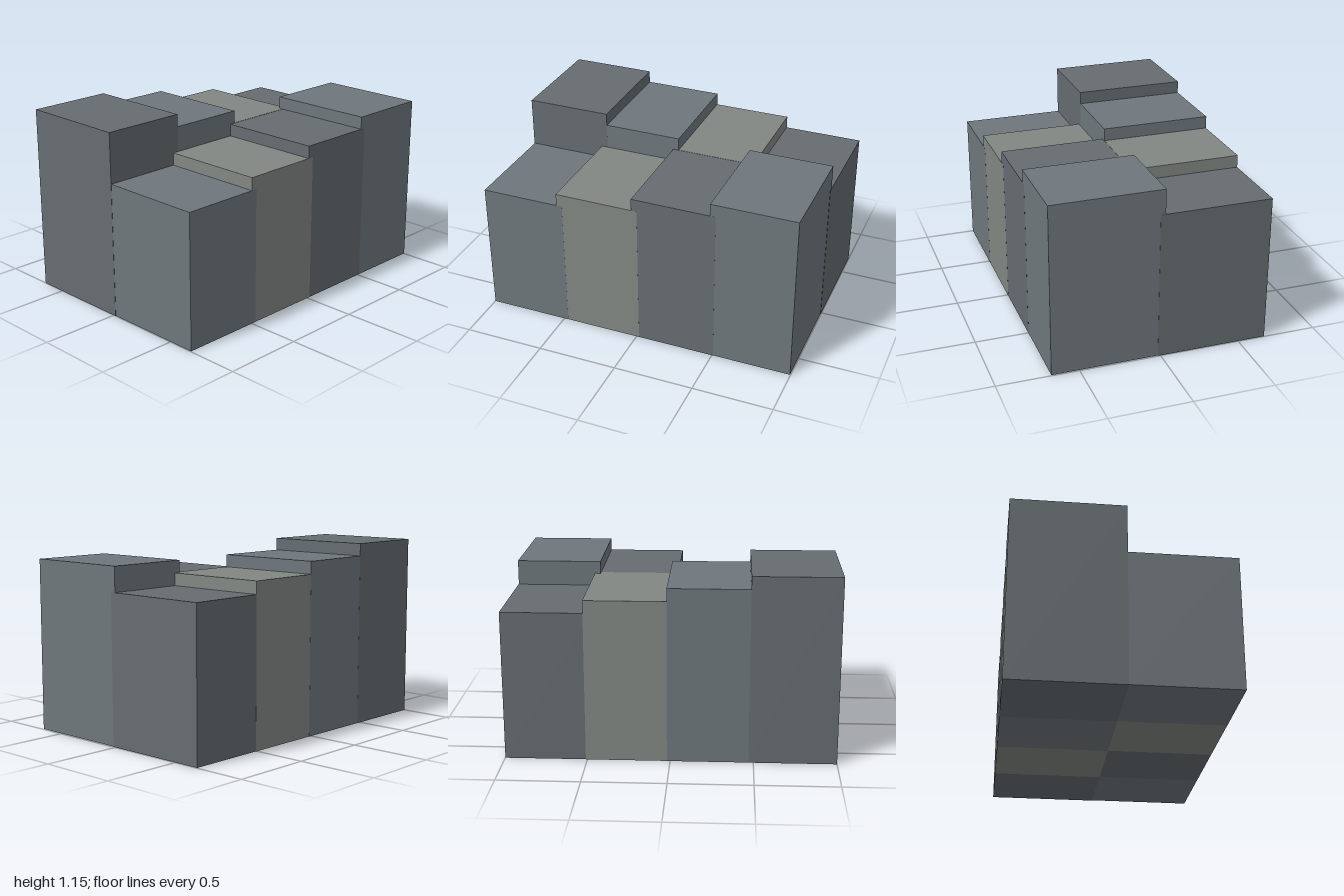
import * as THREE from 'three';

const SLATE = 0x6e777c, DARK = 0x656c70, PALE = 0x828783;
const WIDTH = 0.53, PITCH = 0.49, DEPTH = 0.69;

// Two rows of slightly overlapping blocks, climbing round in a spiral
const rows = [
  { name: 'back', z: -0.3275, heights: [1.15, 1.073, 0.995, 0.918], colors: [DARK, SLATE, PALE, DARK] },
  { name: 'front', z: 0.3275, heights: [0.84, 0.918, 0.995, 1.073], colors: [SLATE, PALE, DARK, SLATE] },
];

export function createModel() {
  const model = new THREE.Group();
  model.name = 'steppedBlocks';
  let order = 0;
  for (const row of rows) {
    row.heights.forEach((height, i) => {
      // Hairline inset per block keeps overlapping flush faces from flickering
      const inset = 0.0004 * order++;
      const block = new THREE.Mesh(
        new THREE.BoxGeometry(WIDTH - 2 * inset, height - 2 * inset, DEPTH - 2 * inset),
        new THREE.MeshStandardMaterial({ color: row.colors[i] })
      );
      block.name = `${row.name}Block${i + 1}`;
      block.position.set((i - 1.5) * PITCH, height / 2, row.z);
      model.add(block);
    });
  }
  return model;
}
